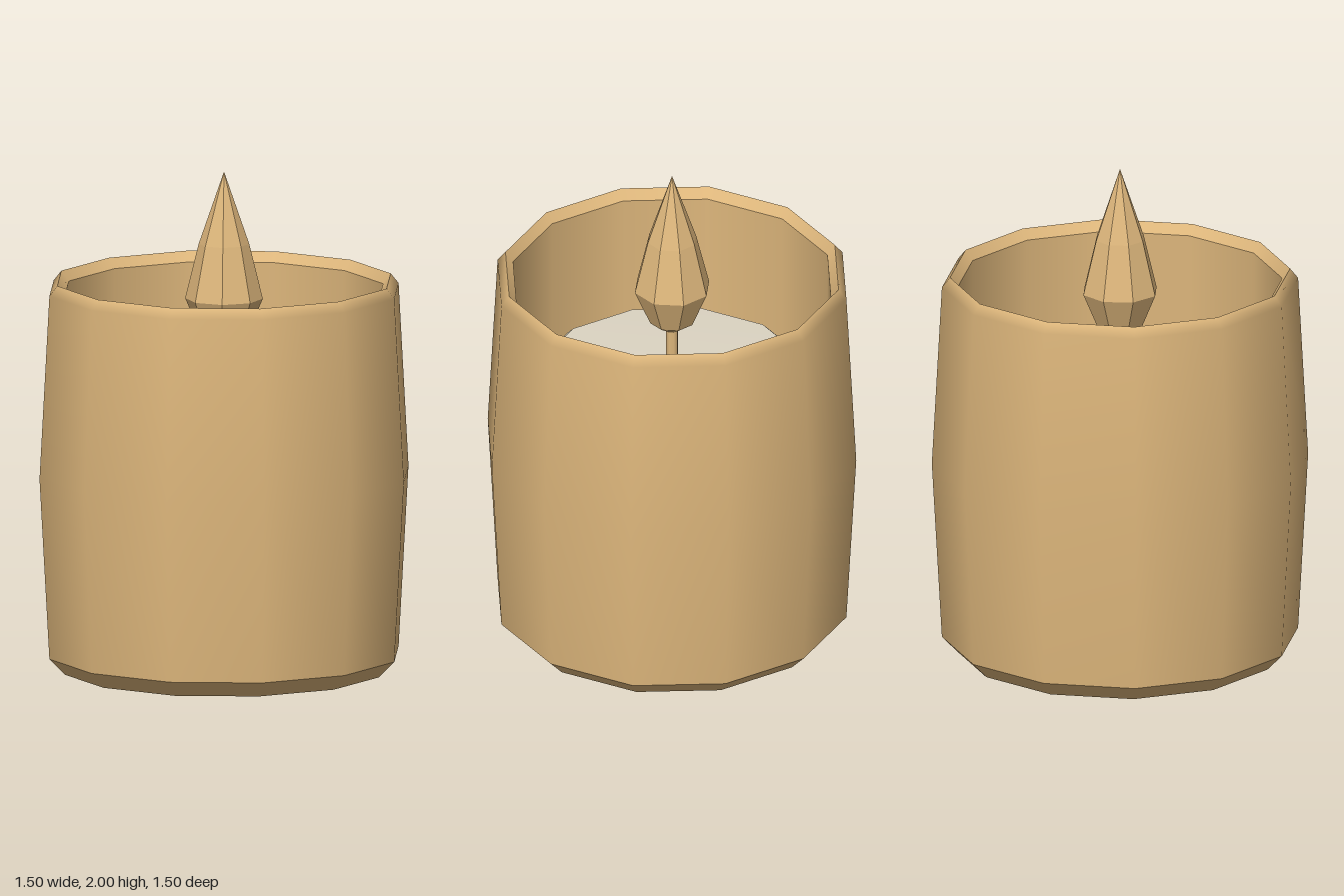
import * as THREE from 'three';

export function createModel() {
  const candle = new THREE.Group();
  candle.name = 'candle';
  const tan = new THREE.MeshStandardMaterial({ color: 0xdeb77c });
  tan.name = 'tan';
  const cream = new THREE.MeshStandardMaterial({ color: 0xded6c4 });
  cream.name = 'cream';

  // Turned part; separate parts keep a sharp edge between them
  function turned(name, profile, material, parent, sides = 12, faceted = false) {
    let geometry = new THREE.LatheGeometry(profile.map(([r, y]) => new THREE.Vector2(r, y)), sides);
    if (faceted) {
      geometry = geometry.toNonIndexed();
      geometry.computeVertexNormals();
    }
    const mesh = new THREE.Mesh(geometry, material);
    mesh.name = name;
    parent.add(mesh);
  }

  // Barrel-shaped cup
  const cup = new THREE.Group();
  cup.name = 'cup';
  candle.add(cup);
  turned('cupBase', [[0, 0], [0.645, 0]], tan, cup);
  turned('baseBevel', [[0.645, 0], [0.708, 0.065]], tan, cup);
  turned('outerWall', [[0.708, 0.065], [0.748, 0.79], [0.708, 1.525], [0.676, 1.565]], tan, cup);
  turned('innerBevel', [[0.676, 1.565], [0.645, 1.525]], tan, cup);
  turned('innerWall', [[0.645, 1.525], [0.645, 0.98]], tan, cup);
  turned('cupFloor', [[0.645, 0.98], [0, 0.98]], tan, cup);

  // Wax disc with a softened rim
  turned('wax', [[0.56, 0.98], [0.56, 1.06], [0.53, 1.09], [0, 1.09]], cream, candle);

  // Wick and faceted flame
  turned('wick', [[0.025, 1.08], [0.025, 1.32]], tan, candle, 8);
  turned('flame', [[0, 1.28], [0.09, 1.34], [0.154, 1.49], [0.1, 1.71], [0, 2]], tan, candle, 8, true);

  return candle;
}
